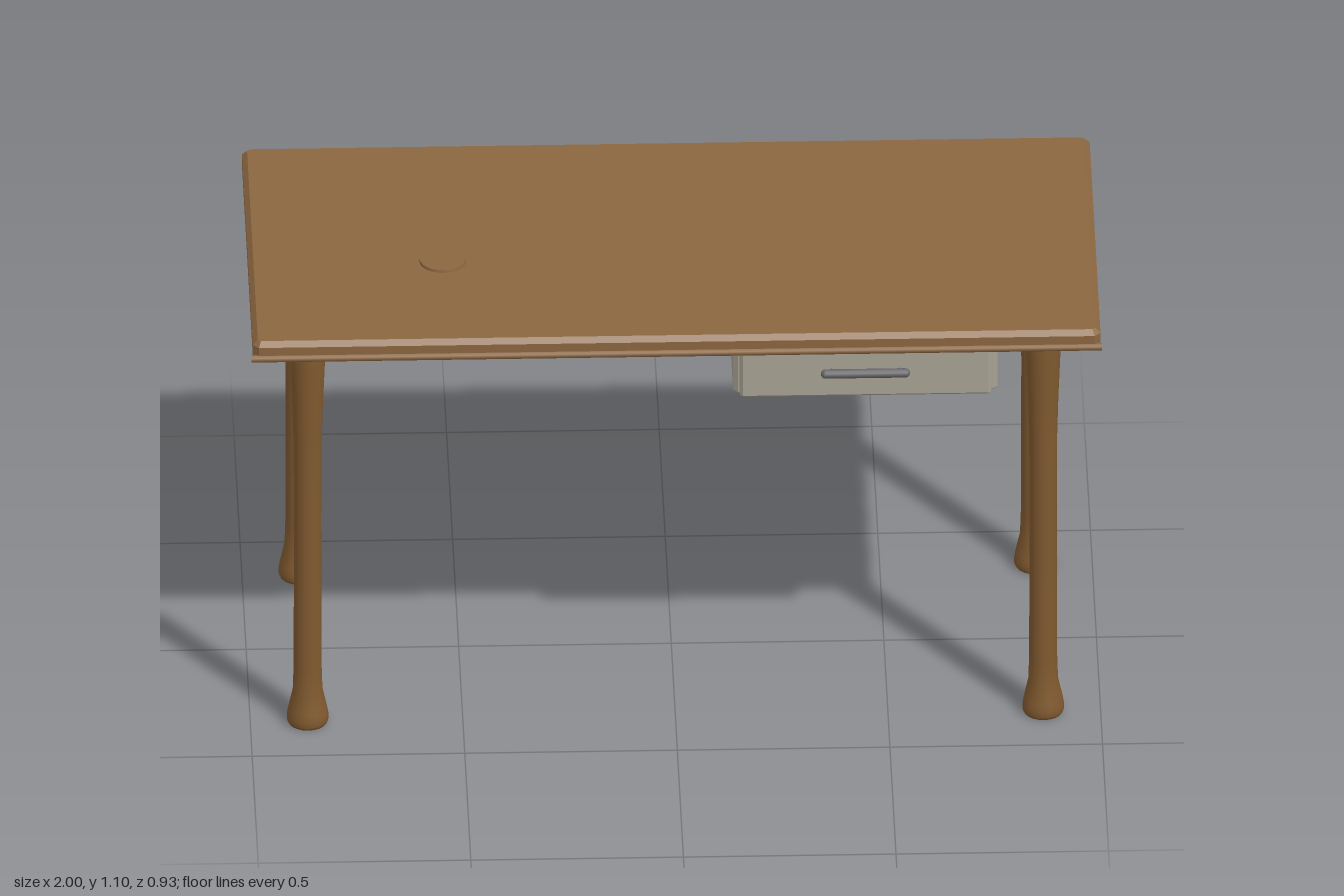
import * as THREE from 'three';

const wood = new THREE.MeshStandardMaterial({ color: 0x8b6640 });
const darkWood = new THREE.MeshStandardMaterial({ color: 0x80592f });
const paint = new THREE.MeshStandardMaterial({ color: 0xa8a294 });
const metal = new THREE.MeshStandardMaterial({ color: 0x66666a });

function add(parent, name, geometry, material, x = 0, y = 0, z = 0) {
  const mesh = new THREE.Mesh(geometry, material);
  mesh.name = name;
  mesh.position.set(x, y, z);
  parent.add(mesh);
  return mesh;
}

// Box with a flat chamfer of size b on every edge, given by its limits
function chamferBox(parent, name, material, [x0, x1], [y0, y1], [z0, z1], b) {
  const w = (x1 - x0) / 2 - b, d = (z1 - z0) / 2 - b, c = b * 0.6;
  const shape = new THREE.Shape([
    [-w + c, -d], [w - c, -d], [w, -d + c], [w, d - c],
    [w - c, d], [-w + c, d], [-w, d - c], [-w, -d + c],
  ].map(p => new THREE.Vector2(...p)));
  const h = y1 - y0 - 2 * b;
  const geometry = new THREE.ExtrudeGeometry(shape, {
    depth: h, bevelEnabled: true, bevelSize: b, bevelThickness: b, bevelSegments: 1,
  });
  geometry.translate(0, 0, -h / 2).rotateX(-Math.PI / 2);
  return add(parent, name, geometry, material, (x0 + x1) / 2, (y0 + y1) / 2, (z0 + z1) / 2);
}

export function createModel() {
  const desk = new THREE.Group();
  desk.name = 'desk';

  // Table top with a bead along the lower front edge
  chamferBox(desk, 'tableTop', wood, [-0.997, 0.997], [1.045, 1.097], [-0.464, 0.457], 0.012);
  const bead = new THREE.CylinderGeometry(0.009, 0.009, 2, 12).rotateZ(Math.PI / 2);
  add(desk, 'frontBead', bead, wood, 0, 1.055, 0.455);

  // Round cable cap
  add(desk, 'cableCap', new THREE.CylinderGeometry(0.054, 0.056, 0.012, 24), wood, -0.54, 1.098, 0.084);

  // Turned legs
  const legProfile = [
    [0, 0], [0.045, 0], [0.049, 0.008], [0.049, 0.022], [0.046, 0.04], [0.035, 0.09],
    [0.033, 0.15], [0.032, 0.55], [0.033, 0.75], [0.036, 0.86], [0.041, 0.98],
    [0.042, 1.02], [0.039, 1.045], [0, 1.045],
  ].map(p => new THREE.Vector2(...p));
  const legGeometry = new THREE.LatheGeometry(legProfile, 20);
  for (const x of [-0.865, 0.865]) {
    for (const z of [-0.343, 0.339]) {
      add(desk, z > 0 ? 'frontLeg' : 'backLeg', legGeometry, darkWood, x, 0, z);
    }
  }

  // Aprons on the back and both sides
  chamferBox(desk, 'backApron', darkWood, [-0.865, 0.865], [0.935, 1.047], [-0.36, -0.325], 0.004);
  for (const x of [-0.865, 0.865]) {
    chamferBox(desk, 'sideApron', darkWood, [x - 0.018, x + 0.018], [0.935, 1.047], [-0.343, 0.339], 0.004);
  }

  // Drawer
  const drawer = new THREE.Group();
  drawer.name = 'drawer';
  desk.add(drawer);
  chamferBox(drawer, 'drawerBox', paint, [0.135, 0.757], [0.886, 1.046], [-0.255, 0.37], 0.01);
  chamferBox(drawer, 'drawerFront', paint, [0.15, 0.742], [0.895, 1.036], [0.36, 0.397], 0.006);

  // Bar handle on two posts
  const bar = new THREE.CapsuleGeometry(0.011, 0.188, 4, 12).rotateZ(Math.PI / 2);
  add(drawer, 'handleBar', bar, metal, 0.445, 0.965, 0.41);
  const post = new THREE.CylinderGeometry(0.007, 0.007, 0.02, 10).rotateX(Math.PI / 2);
  for (const s of [-1, 1]) add(drawer, 'handlePost', post, metal, 0.445 + s * 0.08, 0.965, 0.4);

  return desk;
}
